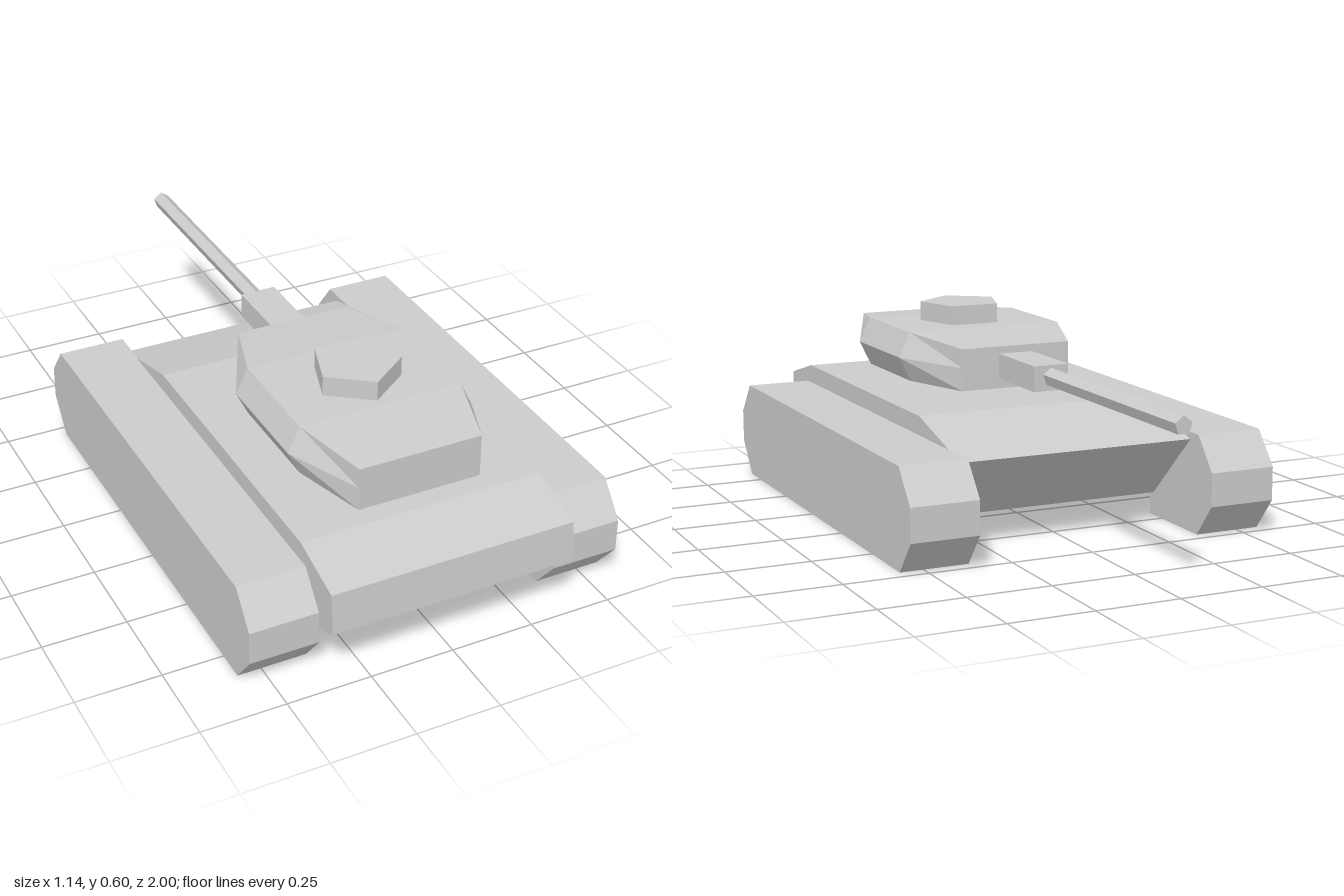
import * as THREE from 'three';

const material = new THREE.MeshStandardMaterial({
  color: 0xcccccc, flatShading: true, side: THREE.DoubleSide,
});

function add(parent, name, geometry, x = 0, y = 0, z = 0) {
  const mesh = new THREE.Mesh(geometry, material);
  mesh.name = name;
  mesh.position.set(x, y, z);
  parent.add(mesh);
  return mesh;
}

// Skin between successive rings of [x, y, z] points, with optional flat end caps
function loft(rings, closed) {
  const pos = [];
  const n = rings[0].length;
  const tri = (...pts) => pts.forEach((p) => pos.push(...p));
  for (let i = 0; i < rings.length - 1; i++) {
    for (let j = 0; j < (closed ? n : n - 1); j++) {
      const k = (j + 1) % n;
      const [a, b, c, d] = [rings[i][j], rings[i][k], rings[i + 1][k], rings[i + 1][j]];
      tri(a, d, b);
      tri(b, d, c);
    }
  }
  if (closed) {
    const first = rings[0], last = rings[rings.length - 1];
    for (let j = 1; j < n - 1; j++) {
      tri(first[0], first[j], first[j + 1]);
      tri(last[0], last[j + 1], last[j]);
    }
  }
  const g = new THREE.BufferGeometry();
  g.setAttribute('position', new THREE.Float32BufferAttribute(pos, 3));
  g.computeVertexNormals();
  return g;
}

// Plates following a side profile of [z, y] points from x0 to x1, open underneath
const plates = (profile, x0, x1) =>
  loft([x0, x1].map((x) => profile.map(([z, y]) => [x, y, z])), false);

// Flat side wall filling a [z, y] outline
const wall = (outline) =>
  new THREE.ShapeGeometry(new THREE.Shape(outline.map(([z, y]) => new THREE.Vector2(z, y))))
    .rotateY(-Math.PI / 2);

export function createModel() {
  const tank = new THREE.Group();
  tank.name = 'tank';

  // Hull: wedge-ended shell without a floor
  const hull = new THREE.Group();
  hull.name = 'hull';
  tank.add(hull);
  const hullProfile = [
    [0.74, 0.07], [1, 0.183], [0.99, 0.305], [0.81, 0.355],
    [-0.12, 0.355], [-0.415, 0.277], [-0.2, 0.07],
  ];
  add(hull, 'hullPlates', plates(hullProfile, -0.368, 0.368));

  // Tracks: chamfered housings open below, inner wall cut out beside the hull
  const trackProfile = [
    [0.84, 0], [0.92, 0.1], [0.92, 0.2], [0.84, 0.298],
    [-0.46, 0.298], [-0.54, 0.2], [-0.54, 0.1], [-0.46, 0],
  ];
  const notch = [[-0.18, 0], [-0.18, 0.07], [0.6, 0.07], [0.6, 0]];
  for (const [side, s] of [['left', 1], ['right', -1]]) {
    add(hull, side + 'HullSide', wall(hullProfile), s * 0.368);
    const track = new THREE.Group();
    track.name = side + 'Track';
    tank.add(track);
    const [x0, x1] = s > 0 ? [0.365, 0.57] : [-0.57, -0.365];
    add(track, 'trackBand', plates(trackProfile, x0, x1));
    add(track, 'trackOuterSide', wall(trackProfile), s * 0.57);
    add(track, 'trackInnerSide', wall([...trackProfile, ...notch]), s * 0.365);
  }

  // Turret: faceted body lofted from rear to front
  const turret = new THREE.Group();
  turret.name = 'turret';
  tank.add(turret);
  const section = (z, base, mid, top, midY, topY) => [
    [base, 0.39, z], [mid, midY, z], [top, topY, z],
    [-top, topY, z], [-mid, midY, z], [-base, 0.39, z],
  ];
  add(turret, 'turretBody', loft([
    section(0.79, 0.186, 0.186, 0.186, 0.46, 0.52),
    section(0.565, 0.25, 0.287, 0.25, 0.465, 0.54),
    section(0.23, 0.25, 0.287, 0.25, 0.465, 0.54),
    section(0.005, 0.176, 0.176, 0.176, 0.46, 0.517),
  ], true));

  // Five-sided hatch on the roof
  add(turret, 'hatch', new THREE.CylinderGeometry(0.13, 0.13, 0.065, 5), 0, 0.567, 0.41);

  // Gun mount and five-sided barrel pointing along -z
  add(turret, 'gunMount', new THREE.BoxGeometry(0.11, 0.076, 0.245), 0, 0.457, -0.1125);
  add(turret, 'gunBarrel',
    new THREE.CylinderGeometry(0.027, 0.027, 0.77, 5).rotateX(-Math.PI / 2), 0, 0.46, -0.615);

  return tank;
}
